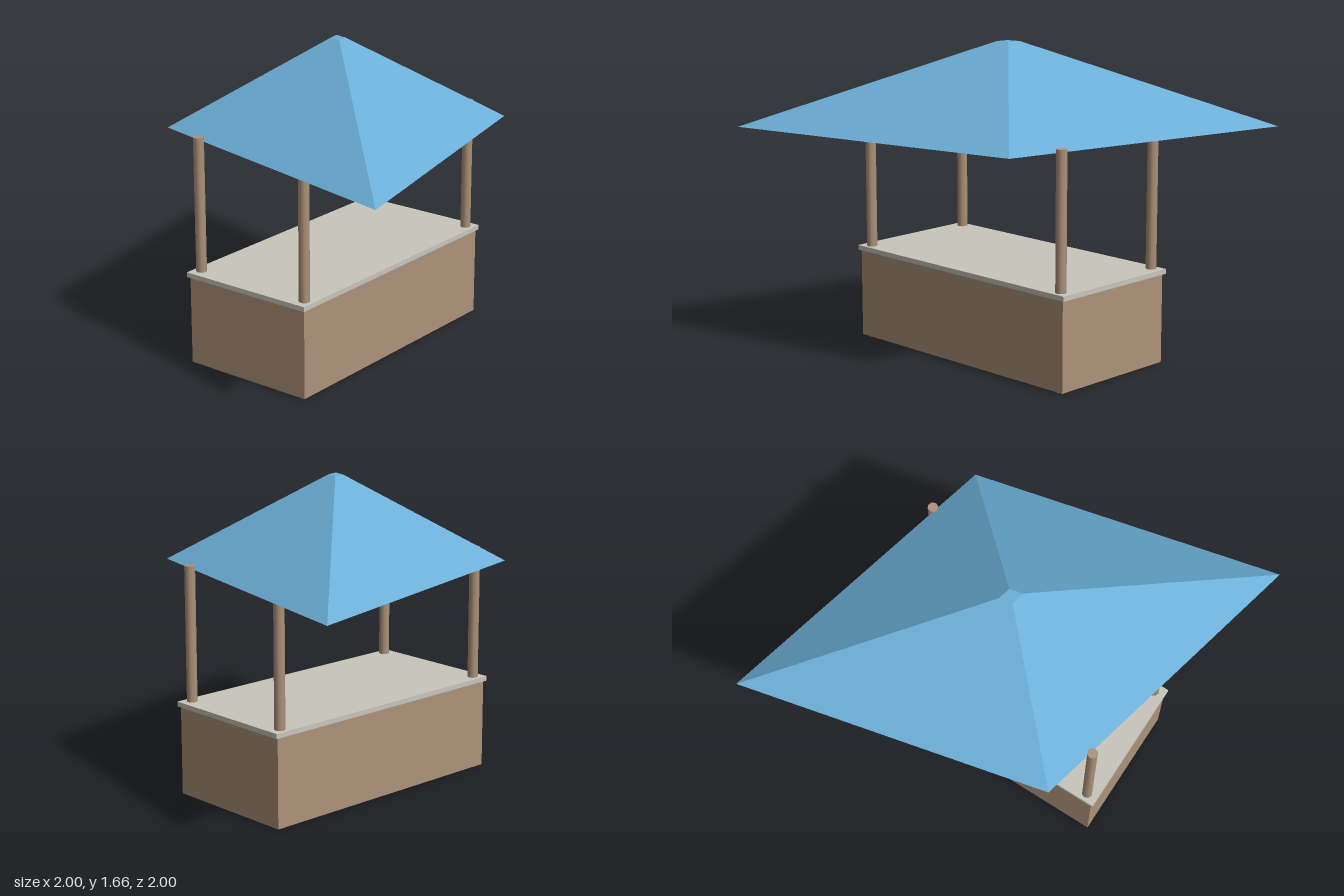
import * as THREE from 'three';

export function createModel() {
  const paint = (name, color) => {
    const m = new THREE.MeshStandardMaterial({ color });
    m.name = name;
    return m;
  };
  const wood = paint('wood', 0xad937a);
  const stone = paint('pale stone', 0xc8c5bc);
  const canvas = paint('blue canvas', 0x6baed6);
  canvas.flatShading = true;

  const model = new THREE.Group();
  model.name = 'marketStall';
  const add = (name, geometry, material, x, y, z) => {
    const mesh = new THREE.Mesh(geometry, material);
    mesh.name = name;
    mesh.position.set(x, y, z);
    model.add(mesh);
    return mesh;
  };

  // Closed base and overhanging worktop
  add('base', new THREE.BoxGeometry(1.5, 0.48, 0.754), wood, 0, 0.246, 0);
  add('worktop', new THREE.BoxGeometry(1.53, 0.026, 0.775), stone, 0, 0.496, 0);

  // Four posts, running from the ground up to the roof
  const postGeometry = new THREE.CylinderGeometry(0.028, 0.028, 1.23, 8);
  for (const x of [-1, 1]) {
    for (const z of [-1, 1]) {
      const name = (z > 0 ? 'front' : 'back') + (x > 0 ? 'Left' : 'Right') + 'Post';
      add(name, postGeometry, wood, x * 0.703, 0.615, z * 0.341);
    }
  }

  // Four-sided roof, stretched along one diagonal
  const roofGeometry = new THREE.CylinderGeometry(0.06, Math.SQRT2, 0.45, 4);
  roofGeometry.scale(1, 1, 0.625);
  roofGeometry.rotateY(Math.PI / 4);
  add('roof', roofGeometry, canvas, 0, 1.435, 0);

  return model;
}
